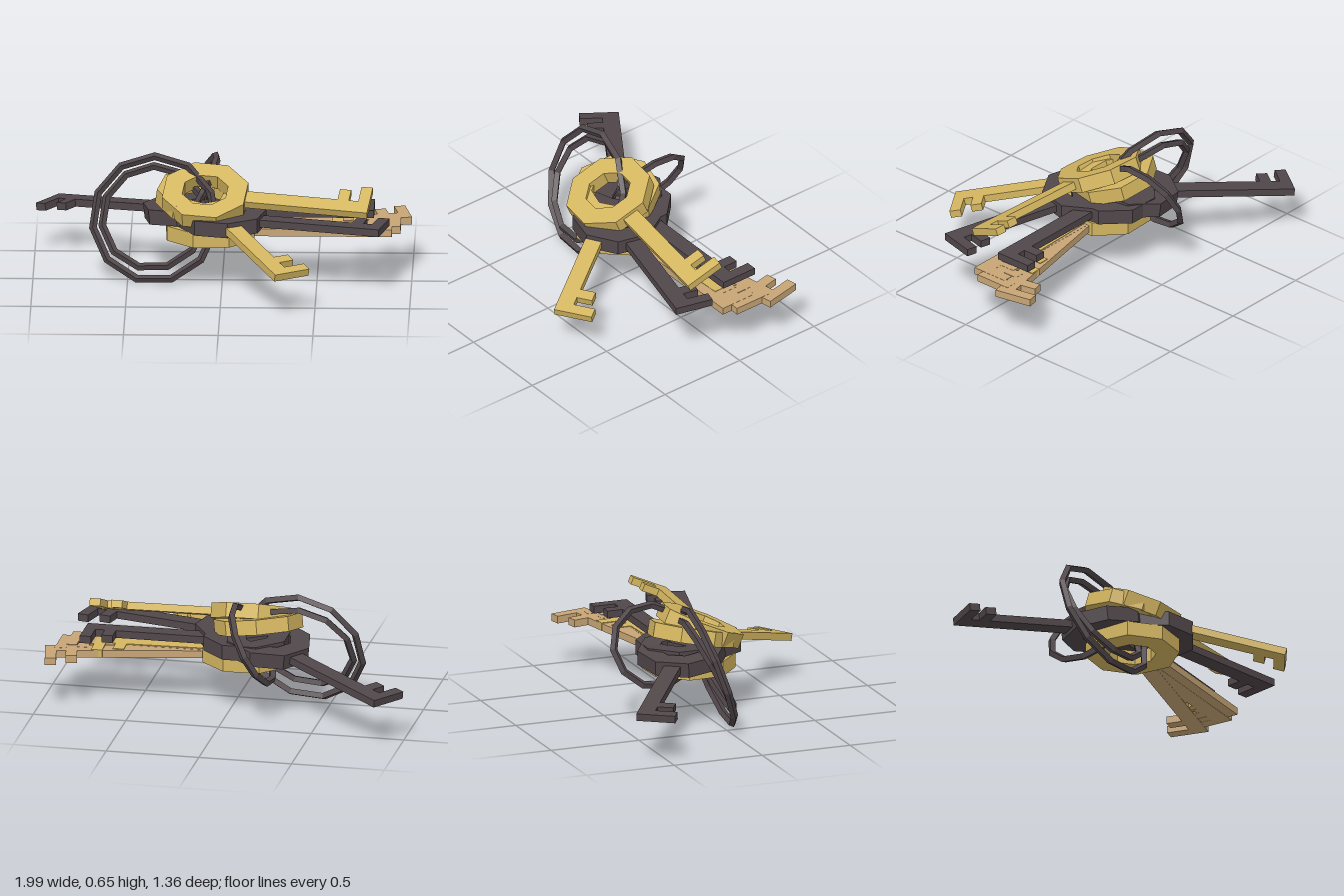
import * as THREE from 'three';

const material = (name, color) => {
  const m = new THREE.MeshStandardMaterial({ color, flatShading: true });
  m.name = name;
  return m;
};

// Extrude a flat outline and lay it down, centred on its own thickness
function plate(shape, thickness) {
  const g = new THREE.ExtrudeGeometry(shape, { depth: thickness, bevelEnabled: false });
  g.translate(0, 0, -thickness / 2);
  g.rotateX(-Math.PI / 2);
  return g;
}

const octagon = (r) => Array.from({ length: 8 }, (_, i) => {
  const a = (i + 0.5) * Math.PI / 4;
  return new THREE.Vector2(r * Math.cos(a), r * Math.sin(a));
});

// Octagonal handle with an open centre
function bowGeometry(outer, inner) {
  const s = new THREE.Shape(octagon(outer));
  s.holes.push(new THREE.Path(octagon(inner)));
  return plate(s, 0.08);
}

// Shaft with two teeth on one side
function bladeGeometry(L) {
  const w = 0.045;
  const pts = [
    [0.17, -w], [L, -w], [L, 0.165], [L - 0.06, 0.165], [L - 0.06, w], [L - 0.11, w],
    [L - 0.11, 0.13], [L - 0.17, 0.13], [L - 0.17, w], [0.17, w],
  ];
  return plate(new THREE.Shape(pts.map(([x, y]) => new THREE.Vector2(x, y))), 0.04);
}

export function createModel() {
  const group = new THREE.Group();
  group.name = 'keyRing';
  const gold = material('gold', 0xd4b660);
  const iron = material('dark iron', 0x51474a);
  const tan = material('tan', 0xc8a676);

  // Keys: heading turns about y, tilt tips the whole key about x, pitch lifts the tip
  function key(name, mat, pos, { heading = 0, tilt = 0, pitch = 0, length = 0.87, bow = 0.235 }) {
    const k = new THREE.Group();
    k.name = name;
    const blade = new THREE.Mesh(bladeGeometry(length), mat);
    blade.name = 'blade';
    k.add(blade);
    if (bow) {
      const handle = new THREE.Mesh(bowGeometry(bow, 0.125), mat);
      handle.name = 'bow';
      k.add(handle);
    }
    k.position.set(...pos);
    k.rotation.set(tilt, heading, pitch);
    group.add(k);
  }

  // Upper gold keys
  key('upperGoldKey', gold, [-0.09, 0.485, 0.01], { heading: -0.13, tilt: 0.4 });
  key('frontGoldKey', gold, [-0.12, 0.455, -0.05], { heading: -1.008, pitch: -0.25 });

  // Middle dark keys
  key('straightDarkKey', iron, [-0.07, 0.37, -0.095], {});
  key('frontDarkKey', iron, [0, 0.37, 0.035], { heading: -0.25 });
  key('backDarkKey', iron, [-0.19, 0.37, -0.135], { heading: Math.PI - 0.607, pitch: -0.12 });

  // Lower layer: a gold key with longer tan blades fanned beside it
  key('lowerGoldKey', gold, [-0.065, 0.292, -0.045], { length: 0.815, bow: 0.25, heading: 0.04 });
  key('tanKeyFront', tan, [-0.07, 0.29, -0.015], { length: 0.965, bow: 0 });
  key('tanKeyMiddle', tan, [-0.07, 0.289, -0.075], { length: 1.01, bow: 0 });
  key('tanKeyBack', tan, [-0.06, 0.288, -0.04], { length: 1.07, bow: 0, heading: 0.2 });

  // Linking rings
  function ring(name, radius, pos, rot, order = 'XYZ') {
    const m = new THREE.Mesh(new THREE.TorusGeometry(radius, 0.021, 4, 11), iron);
    m.name = name;
    m.position.set(...pos);
    m.rotation.set(...rot, order);
    group.add(m);
  }
  ring('largeRingOuter', 0.33, [-0.36, 0.34, -0.045], [-0.34, -0.12, Math.PI / 2]);
  ring('largeRingInner', 0.275, [-0.365, 0.345, -0.055], [-0.48, -0.12, Math.PI / 2]);
  ring('smallRing', 0.222, [-0.135, 0.415, -0.275], [0, Math.PI / 2, -0.48], 'ZYX');

  return group;
}
